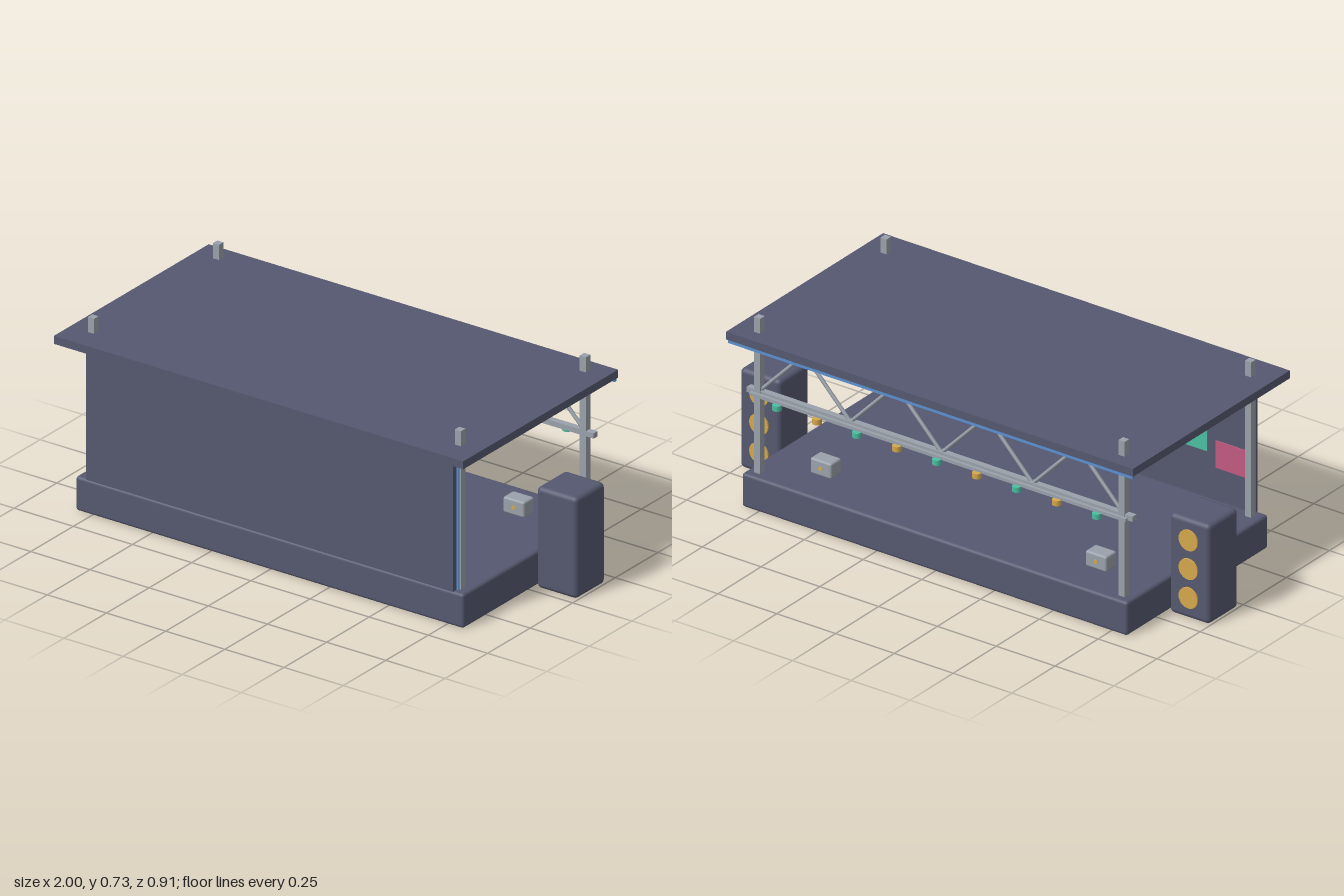
import * as THREE from 'three';
import { RoundedBoxGeometry } from 'three/addons/geometries/RoundedBoxGeometry.js';

const paint = (name, color) => {
  const m = new THREE.MeshStandardMaterial({ color });
  m.name = name;
  return m;
};

export function createModel() {
  const slate = paint('slate', 0x55586f);
  const steel = paint('steel', 0x9aa1aa);
  const amber = paint('amber', 0xd6a84c);
  const teal = paint('teal', 0x4cbfa2);
  const pink = paint('pink', 0xc25a82);
  const blue = paint('blue', 0x5a8fd0);

  const model = new THREE.Group();
  model.name = 'concertStage';

  const add = (name, geometry, material, x, y, z) => {
    const mesh = new THREE.Mesh(geometry, material);
    mesh.name = name;
    mesh.position.set(x, y, z);
    model.add(mesh);
    return mesh;
  };
  const box = (name, material, w, h, d, x, y, z) =>
    add(name, new THREE.BoxGeometry(w, h, d), material, x, y, z);
  const rounded = (name, material, w, h, d, r, x, y, z) =>
    add(name, new RoundedBoxGeometry(w, h, d, 3, r), material, x, y, z);
  const disc = (name, material, r, depth, x, y, z) =>
    add(name, new THREE.CylinderGeometry(r, r, depth, 24).rotateX(Math.PI / 2), material, x, y, z);

  // Straight rod between two points
  const rod = (name, a, b, r) => {
    const dir = b.clone().sub(a);
    const mid = a.clone().add(b).multiplyScalar(0.5);
    const mesh = add(name, new THREE.CylinderGeometry(r, r, dir.length(), 8), steel, mid.x, mid.y, mid.z);
    mesh.quaternion.setFromUnitVectors(new THREE.Vector3(0, 1, 0), dir.normalize());
  };

  // Deck, roof and its light strip (the open side faces -z)
  rounded('deck', slate, 1.64, 0.13, 0.82, 0.012, 0, 0.065, -0.018);
  box('roof', slate, 1.73, 0.03, 0.91, 0, 0.658, 0);
  box('roofLightStrip', blue, 1.72, 0.014, 0.012, 0, 0.637, -0.446);

  // Back wall with its edge trim and coloured screen panels
  box('backWall', slate, 1.55, 0.5, 0.02, 0, 0.378, 0.38);
  box('screenBar', amber, 0.5, 0.03, 0.009, 0, 0.565, 0.366);

  for (const s of [-1, 1]) {
    box('wallTrim', blue, 0.01, 0.5, 0.008, s * 0.778, 0.378, 0.366);
    box('pinkPanel', pink, 0.13, 0.105, 0.004, s * 0.68, 0.31, 0.368);
    box('tealPanel', teal, 0.125, 0.13, 0.004, s * 0.515, 0.375, 0.368);

    // Corner posts passing through the roof
    for (const z of [0.348, -0.385]) box('post', steel, 0.026, 0.6, 0.027, s * 0.775, 0.43, z);

    // Loudspeaker stacks
    rounded('speaker', slate, 0.172, 0.384, 0.172, 0.018, s * 0.913, 0.192, -0.11);
    for (const y of [0.083, 0.194, 0.305]) disc('speakerCone', amber, 0.04, 0.012, s * 0.913, y, -0.196);

    // Floor monitors with a small driver on both faces
    rounded('floorMonitor', steel, 0.09, 0.06, 0.062, 0.008, s * 0.585, 0.16, -0.259);
    disc('monitorDriver', amber, 0.008, 0.066, s * 0.585, 0.16, -0.259);
  }

  // Lighting truss: chords, cable rail and zigzag braces
  const trussZ = -0.385;
  box('topChord', steel, 1.6, 0.02, 0.022, 0, 0.649, trussZ);
  box('bottomChord', steel, 1.64, 0.02, 0.024, 0, 0.44, trussZ);
  box('lampRail', steel, 1.6, 0.012, 0.014, 0, 0.434, -0.402);
  const nodes = Array.from({ length: 9 }, (_, i) =>
    new THREE.Vector3(-0.775 + i * 0.19375, i % 2 ? 0.642 : 0.442, trussZ));
  for (let i = 0; i < 8; i++) rod('trussBrace', nodes[i], nodes[i + 1], 0.007);

  // Alternating lamps below the rail, three larger ones under the roof
  for (let i = 0; i < 9; i++) {
    add('railLamp', new THREE.CylinderGeometry(0.017, 0.017, 0.02, 12), i % 2 ? amber : teal,
      -0.68 + i * 0.17, 0.42, -0.412);
  }
  for (const x of [-0.22, 0, 0.22]) {
    add('roofLamp', new THREE.CylinderGeometry(0.023, 0.023, 0.03, 12), amber, x, 0.627, -0.387);
  }
  return model;
}
